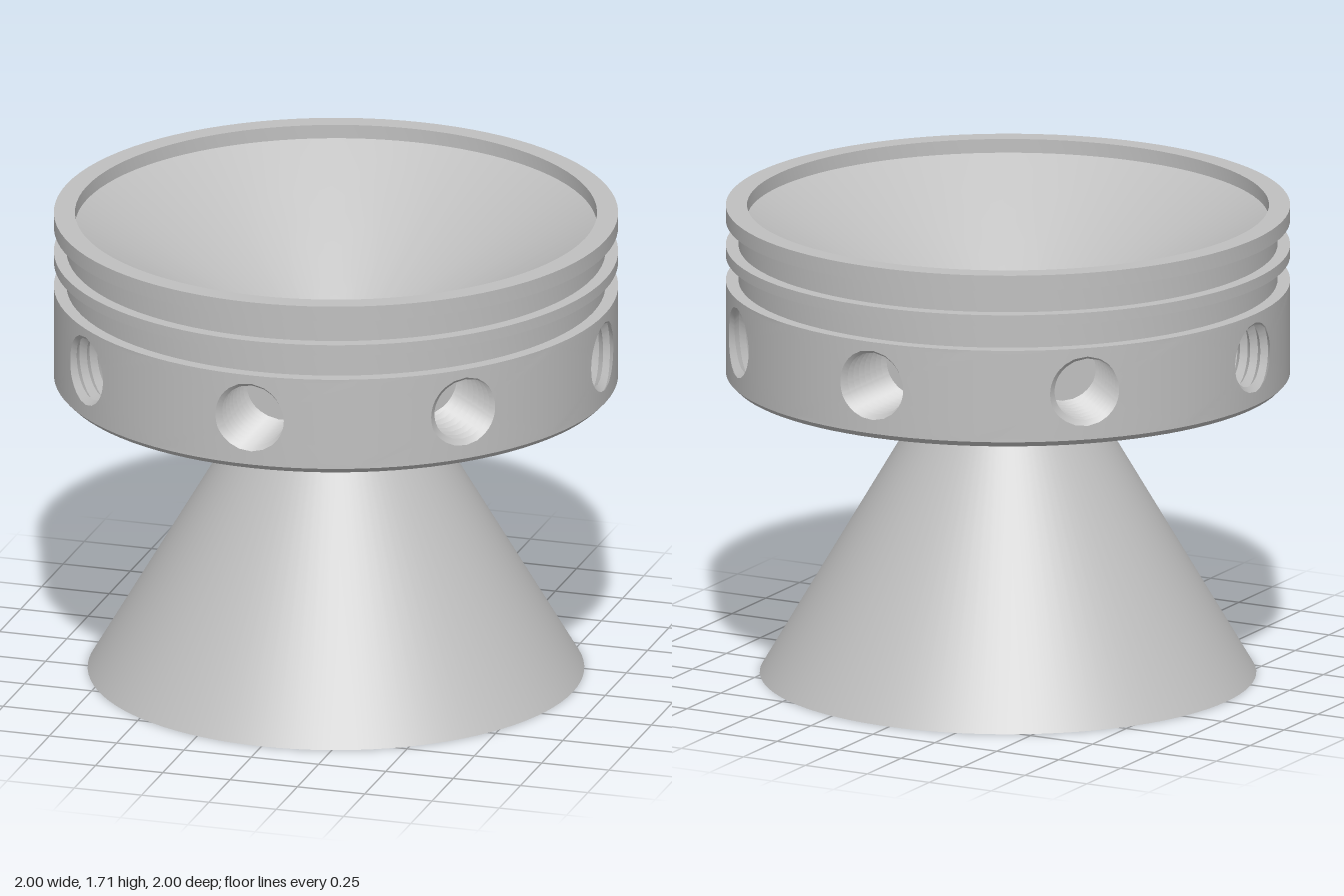
import * as THREE from 'three';
import { mergeGeometries, toCreasedNormals } from 'three/addons/utils/BufferGeometryUtils.js';

const HOLES = 8, SIDE = 12, AROUND = SIDE * 4;
const BAND_LOW = 1.10, BAND_HIGH = 1.435, HOLE_Y = 1.28;
const MINOR = 0.115, THREAD = 0.024, PITCH = 0.042, DEPTH = 0.32;

// Surface from a rule: fn(i, j) gives the point [x, y, z]
function grid(nu, nv, fn) {
  const pos = [], idx = [];
  for (let j = 0; j <= nv; j++) for (let i = 0; i <= nu; i++) pos.push(...fn(i, j));
  for (let j = 0; j < nv; j++) for (let i = 0; i < nu; i++) {
    const a = j * (nu + 1) + i, b = a + 1, d = a + nu + 1, c = d + 1;
    idx.push(a, b, c, a, c, d);
  }
  const g = new THREE.BufferGeometry();
  g.setAttribute('position', new THREE.Float32BufferAttribute(pos, 3));
  g.setIndex(idx);
  return g;
}

// Eight copies turned around the axis
function ringOf(geometry, crease) {
  const copies = [];
  for (let k = 0; k < HOLES; k++) copies.push(geometry.clone().rotateY(k * Math.PI * 2 / HOLES));
  return toCreasedNormals(mergeGeometries(copies), crease);
}

// Outline of one band sector (angle, height), from its lower left corner
function sectorEdge(i) {
  const k = Math.floor(i / SIDE) % 4, f = (i % SIDE) / SIDE;
  const w = Math.PI / HOLES, lo = BAND_LOW, hi = BAND_HIGH;
  if (k === 0) return [-w + 2 * w * f, lo];
  if (k === 1) return [w, lo + (hi - lo) * f];
  if (k === 2) return [w - 2 * w * f, hi];
  return [-w, hi - (hi - lo) * f];
}

// Angles around a hole that line up with the sector outline
const polar = ([a, y]) => Math.atan2(y - HOLE_Y, a);
const START = polar(sectorEdge(0));
function turn(i) {
  if (i === 0) return 0;
  if (i === AROUND) return Math.PI * 2;
  return (polar(sectorEdge(i)) - START + Math.PI * 4) % (Math.PI * 2);
}

// Thread radius at a depth and turn
function threadRadius(t, a) {
  const p = t / PITCH - a / (Math.PI * 2) + 0.5;
  return MINOR + THREAD * (1 - 2 * Math.abs(p - Math.floor(p) - 0.5));
}
function holePoint(i, t, scale = 1) {
  const a = turn(i), r = threadRadius(t, a) * scale;
  const x = r * Math.cos(a + START), y = HOLE_Y + r * Math.sin(a + START);
  const f = t / DEPTH;
  return [x, y, Math.sqrt(1 - x * x) * (1 - f) + (1 - DEPTH) * f];
}

export function createModel() {
  const group = new THREE.Group();
  const metal = new THREE.MeshStandardMaterial({ color: 0xbfbfbf });
  const add = (name, geometry) => {
    const mesh = new THREE.Mesh(geometry, metal);
    mesh.name = name;
    group.add(mesh);
  };
  const lathe = (name, points) => add(name, toCreasedNormals(
    new THREE.LatheGeometry(points.map(([r, y]) => new THREE.Vector2(r, y)), 96), 0.35));

  // Grooved collar above the band
  lathe('groovedCollar', [
    [1, 1.435], [0.955, 1.435], [0.955, 1.525], [1, 1.525], [1, 1.565],
    [0.955, 1.565], [0.955, 1.655], [1, 1.655], [1, 1.71], [0.925, 1.71],
  ]);

  // Inner lip, funnel, rounded throat and flared bore
  lathe('funnelAndBore', [
    [0.925, 1.71], [0.925, 1.66], [0.155, 1.172], [0.138, 1.158], [0.128, 1.142],
    [0.123, 1.122], [0.125, 1.105], [0.135, 1.085], [0.78, 0],
  ]);

  // Outer cone with its bottom edge and short neck
  lathe('nozzleCone', [
    [0.78, 0], [0.88, 0], [0.272, 1.035], [0.264, 1.05], [0.26, 1.065], [0.26, 1.08],
  ]);

  // Flat underside with chamfered edge
  lathe('underside', [[0.26, 1.08], [0.98, 1.08], [1, 1.10]]);

  // Band pierced by the holes
  const STEPS = 6;
  add('holeBand', ringOf(grid(AROUND, STEPS, (i, j) => {
    const f = j / STEPS, [ea, ey] = sectorEdge(i), [hx, hy] = holePoint(i, 0);
    const a = ea + (Math.asin(hx) - ea) * f;
    return [Math.sin(a), ey + (hy - ey) * f, Math.cos(a)];
  }), 0.35));

  // Threaded walls: grid rows follow the helix
  const rows = 2 * (Math.ceil(DEPTH / PITCH) + 1);
  add('threadedHoles', ringOf(grid(AROUND, rows, (i, j) => {
    const t = (j / 2 + turn(i) / (Math.PI * 2) - 1) * PITCH;
    return holePoint(i, Math.min(DEPTH, Math.max(0, t)));
  }), 0.6));

  // Flat hole bottoms
  add('holeFloors', ringOf(grid(AROUND, 1, (i, j) => holePoint(i, DEPTH, 1 - j)), 0.35));

  return group;
}
